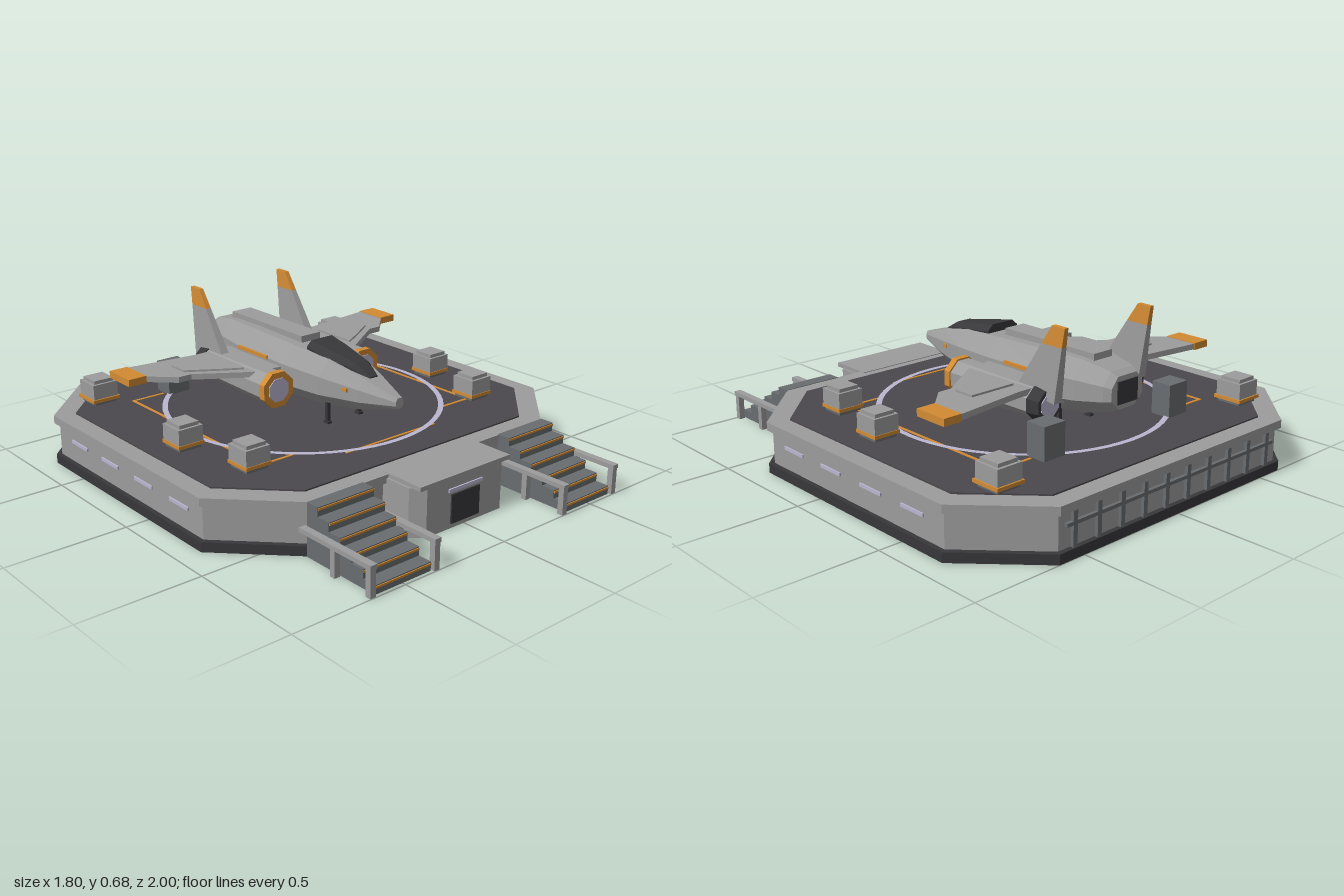
import * as THREE from 'three';

const mat = (name, color) => {
  const m = new THREE.MeshStandardMaterial({ color });
  m.name = name;
  return m;
};

export function createModel() {
  const root = new THREE.Group();
  root.name = 'fighterOnLandingPad';
  const hull = mat('light grey', 0x9c9c9c), steel = mat('slate grey', 0x686d70);
  const deckMat = mat('deck grey', 0x4a484c), dark = mat('charcoal', 0x38383b);
  const orange = mat('orange', 0xd28b34), glow = mat('lavender', 0xbab6d0);

  const add = (name, geo, m, parent = root) => {
    const g = geo.index ? geo.toNonIndexed() : geo;
    g.computeVertexNormals(); // faceted look
    const mesh = new THREE.Mesh(g, m);
    mesh.name = name;
    parent.add(mesh);
    return mesh;
  };
  // Box from its centre and size
  const box = (name, m, x, y, z, w, h, d, parent) =>
    add(name, new THREE.BoxGeometry(w, h, d).translate(x, y, z), m, parent);
  // Horizontal plate from an [x, z] outline
  const slab = (name, m, pts, y0, y1, parent) => {
    const shape = new THREE.Shape(pts.map(([x, z]) => new THREE.Vector2(x, -z)));
    const g = new THREE.ExtrudeGeometry(shape, { depth: y1 - y0, bevelEnabled: false });
    return add(name, g.rotateX(-Math.PI / 2).translate(0, y0, 0), m, parent);
  };
  // Octagon with cut corners, shrunk by d
  const octagon = (d) => {
    const w = 0.9 - d, h = 0.815 - d, c = 0.28 - d * 0.45;
    return [[w - c, -h], [w, c - h], [w, h - c], [w - c, h], [c - w, h], [-w, h - c], [-w, c - h], [c - w, -h]]
      .map(([x, z]) => [x, z - 0.185]);
  };
  // Skin over rings ordered from front to back, each ring counter-clockwise from the front
  const loft = (rings) => {
    const p = [], n = rings[0].length;
    const tri = (...v) => v.forEach((q) => p.push(...q));
    for (let i = 0; i < rings.length - 1; i++) {
      for (let j = 0; j < n; j++) {
        const k = (j + 1) % n, a = rings[i], b = rings[i + 1];
        tri(a[j], b[j], a[k]);
        tri(a[k], b[j], b[k]);
      }
    }
    const f = rings[0], r = rings[rings.length - 1];
    for (let j = 1; j < n - 1; j++) {
      tri(f[0], f[j], f[j + 1]);
      tri(r[0], r[j + 1], r[j]);
    }
    const g = new THREE.BufferGeometry();
    g.setAttribute('position', new THREE.Float32BufferAttribute(p, 3));
    return g;
  };

  // Landing pad
  slab('padFoot', dark, octagon(0), 0, 0.04);
  slab('padWall', hull, octagon(0.02), 0.04, 0.18);
  slab('padRim', hull, octagon(0), 0.18, 0.214);
  slab('padDeck', deckMat, octagon(0.08), 0.214, 0.22);

  // Deck markings
  const ring = new THREE.RingGeometry(0.58, 0.603, 64).rotateX(-Math.PI / 2);
  add('landingCircle', ring.translate(0, 0.224, -0.17), glow);
  box('frontMark', orange, 0, 0.221, 0.387, 0.48, 0.003, 0.012);
  for (const s of [-1, 1]) {
    box('sideMark', orange, s * 0.56, 0.221, -0.185, 0.013, 0.003, 0.92);
    box('rearMark', orange, s * 0.487, 0.221, -0.638, 0.158, 0.003, 0.013);
    box('cornerMark', orange, s * 0.487, 0.221, 0.268, 0.158, 0.003, 0.013);
    for (const z of [0.19, -0.055, -0.3, -0.54])
      box('wallLight', glow, s * 0.882, 0.13, z, 0.008, 0.014, 0.125);
  }

  // Ribs and pipe on the rear wall
  for (let i = 0; i < 10; i++) box('rearRib', steel, -0.54 + i * 0.12, 0.11, -0.984, 0.02, 0.14, 0.02);
  box('rearPipe', steel, 0, 0.13, -0.986, 1.16, 0.014, 0.016);

  // Front hangar
  slab('hangarBody', hull, [[-0.25, 0.6], [0.25, 0.6], [0.25, 0.75], [0.2, 0.795], [-0.2, 0.795], [-0.25, 0.75]], 0, 0.2);
  box('hangarRoof', hull, 0, 0.208, 0.7, 0.48, 0.018, 0.2);
  box('hangarDoor', dark, 0, 0.08, 0.797, 0.15, 0.12, 0.009);
  box('hangarLight', glow, 0, 0.158, 0.797, 0.18, 0.014, 0.009);

  for (const s of [-1, 1]) {
    // Staircase: six steps with orange nosings and level handrails
    const stairs = new THREE.Group();
    stairs.name = 'stairs';
    root.add(stairs);
    for (let i = 0; i < 6; i++) {
      const h = 0.036 * (i + 1), z1 = 0.985 - i * 0.06;
      box('step', steel, s * 0.497, h / 2, z1 - 0.03, 0.265, h, 0.06, stairs);
      box('stepEdge', orange, s * 0.497, h - 0.008, z1 + 0.001, 0.262, 0.008, 0.006, stairs);
    }
    for (const x of [0.346, 0.648]) {
      box('handrail', hull, s * x, 0.117, 0.81, 0.03, 0.018, 0.38, stairs);
      box('railPost', hull, s * x, 0.055, 0.985, 0.025, 0.11, 0.025, stairs);
      box('railPost', hull, s * x, 0.055, 0.8, 0.025, 0.11, 0.025, stairs);
    }

    // Crates on orange pallets
    for (const [x, z, w, p] of [[0.665, -0.745, 0.115, 0.128], [0.677, -0.08, 0.112, 0.118], [0.602, 0.252, 0.112, 0.118]]) {
      box('crateFoot', steel, s * x, 0.227, z, w * 0.9, 0.016, w * 0.9);
      box('cratePallet', orange, s * x, 0.241, z, p, 0.014, p);
      box('crate', hull, s * x, 0.28, z, w, 0.066, w);
      box('crateLid', hull, s * x, 0.32, z, w * 0.8, 0.016, w * 0.8);
    }
    box('equipmentCabinet', steel, s * 0.346, 0.287, -0.652, 0.105, 0.135, 0.09);
  }

  // Aircraft
  const craft = new THREE.Group();
  craft.name = 'aircraft';
  root.add(craft);

  // Fuselage stations: z, half width, bottom, top
  const stations = [
    [0.43, 0.02, 0.358, 0.402], [0.27, 0.075, 0.315, 0.45], [0.09, 0.13, 0.29, 0.492], [-0.12, 0.152, 0.278, 0.507],
    [-0.42, 0.152, 0.278, 0.515], [-0.58, 0.13, 0.298, 0.512], [-0.7, 0.1, 0.33, 0.49], [-0.73, 0.085, 0.345, 0.475],
  ];
  const section = ([z, w, b, t]) => {
    const y = (k) => b + (t - b) * k;
    return [[0.5, 0], [1, 0.3], [1, 0.68], [0.6, 1], [-0.6, 1], [-1, 0.68], [-1, 0.3], [-0.5, 0]]
      .map(([u, v]) => [u * w, y(v), z]);
  };
  add('fuselage', loft(stations.map(section)), hull, craft);
  box('tailExhaust', dark, 0, 0.41, -0.731, 0.11, 0.09, 0.008, craft);
  box('spine', hull, 0, 0.52, -0.36, 0.1, 0.03, 0.49, craft);

  // Canopy stations: z, base half width, base y, top half width, top y
  const canopy = [[0.28, 0.022, 0.44, 0.016, 0.452], [0.2, 0.05, 0.455, 0.03, 0.495],
    [0.05, 0.078, 0.475, 0.05, 0.52], [-0.045, 0.08, 0.49, 0.055, 0.536]];
  add('canopy', loft(canopy.map(([z, w, b, u, t]) =>
    [[w, b, z], [w, (b + t) / 2, z], [u, t, z], [-u, t, z], [-w, (b + t) / 2, z], [-w, b, z]])), dark, craft);

  // Octagonal tube along z
  const tube = (name, m, x, z0, z1, r0, r1) => {
    const g = new THREE.CylinderGeometry(r0, r1, z0 - z1, 8).rotateY(Math.PI / 8).rotateX(Math.PI / 2);
    return add(name, g.translate(x, 0.362, (z0 + z1) / 2), m, craft);
  };
  // Upright fin from a [z, y] outline, thinning upwards
  const fin = (name, m, x, pts) => {
    const shape = new THREE.Shape(pts.map(([z, y]) => new THREE.Vector2(z, y)));
    const g = new THREE.ExtrudeGeometry(shape, { depth: 0.04, bevelEnabled: false });
    g.rotateY(-Math.PI / 2).translate(0.02, 0, 0);
    const p = g.attributes.position;
    for (let i = 0; i < p.count; i++) p.setX(i, p.getX(i) * (1 - 1.9 * (p.getY(i) - 0.4)) + x);
    return add(name, g, m, craft);
  };

  for (const s of [-1, 1]) {
    const mirror = (pts) => pts.map(([x, z]) => [s * x, z]);
    // Engine
    tube('engine', hull, s * 0.235, -0.06, -0.52, 0.073, 0.066);
    tube('intakeLip', orange, s * 0.235, -0.038, -0.068, 0.08, 0.08);
    tube('intakeGlow', glow, s * 0.235, -0.034, -0.04, 0.053, 0.053);
    tube('nozzle', dark, s * 0.235, -0.5, -0.558, 0.072, 0.064);
    tube('exhaustGlow', glow, s * 0.235, -0.556, -0.562, 0.048, 0.048);
    box('enginePylon', hull, s * 0.16, 0.375, -0.33, 0.08, 0.08, 0.38, craft);

    // Wing
    slab('wing', hull, mirror([[0.1, -0.12], [0.28, -0.15], [0.49, -0.29], [0.55, -0.29], [0.647, -0.385], [0.647, -0.53], [0.33, -0.49], [0.1, -0.49]]), 0.396, 0.42, craft);
    slab('wingPanel', hull, mirror([[0.29, -0.2], [0.36, -0.24], [0.5, -0.33], [0.5, -0.42], [0.29, -0.42]]), 0.42, 0.428, craft);
    slab('wingTip', orange, mirror([[0.645, -0.383], [0.728, -0.383], [0.728, -0.533], [0.645, -0.533]]), 0.393, 0.423, craft);

    // Tail fin
    fin('tailFin', hull, s * 0.235, [[-0.4, 0.41], [-0.6, 0.38], [-0.627, 0.6], [-0.523, 0.6]]);
    fin('tailFinTip', orange, s * 0.235, [[-0.523, 0.6], [-0.627, 0.6], [-0.638, 0.677], [-0.573, 0.677]]);

    // Fuselage stripes and landing gear
    box('sideStripe', orange, s * 0.153, 0.437, -0.32, 0.009, 0.015, 0.2, craft);
    box('noseMark', orange, s * 0.094, 0.398, 0.21, 0.009, 0.016, 0.025, craft);
    for (const z of [0.095, -0.46]) {
      box('gearLeg', dark, s * 0.085, 0.265, z, 0.016, 0.09, 0.016, craft);
      box('gearFoot', dark, s * 0.085, 0.225, z, 0.022, 0.01, 0.03, craft);
    }
  }
  return root;
}
